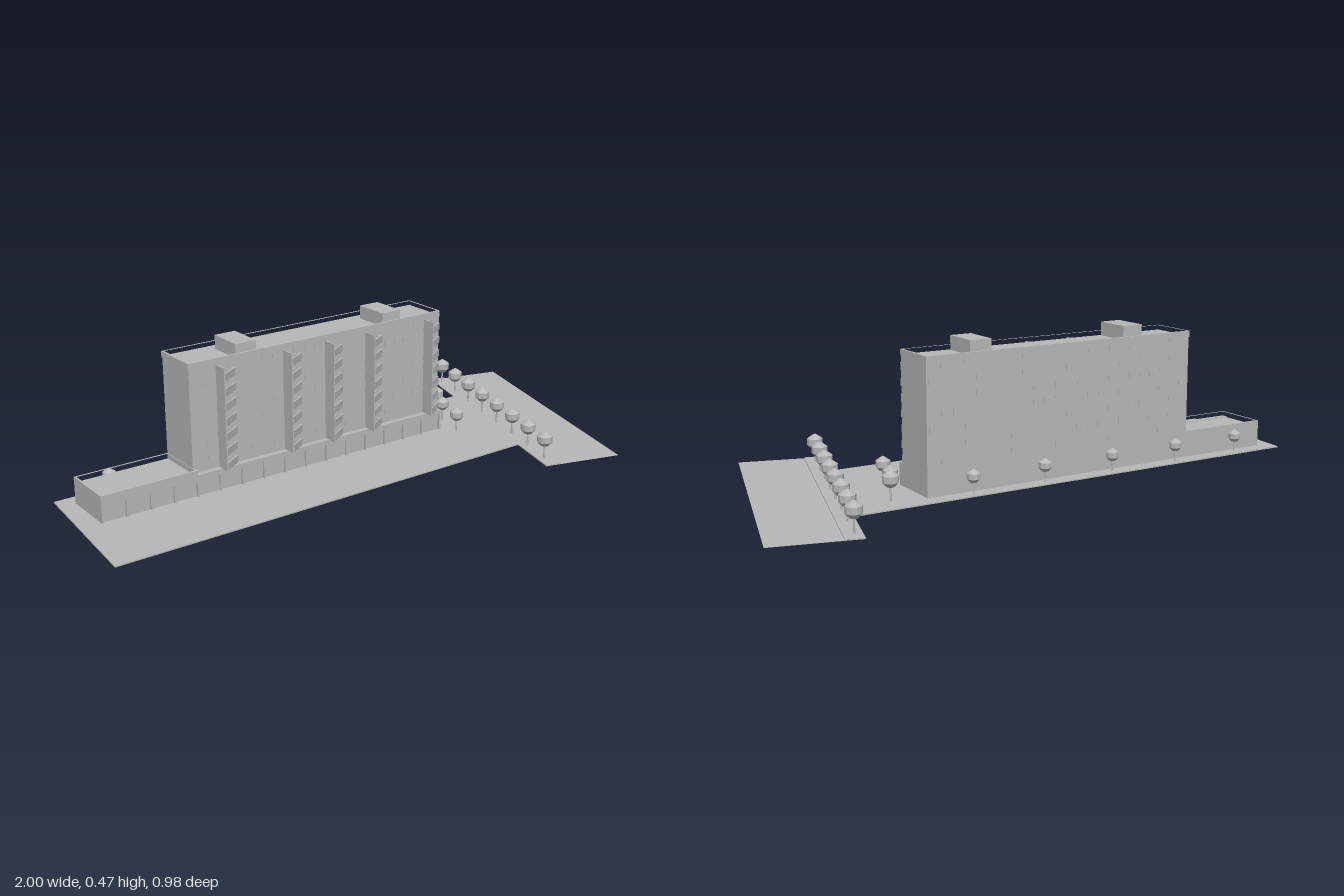
import * as THREE from 'three';

const concrete = new THREE.MeshStandardMaterial({ color: 0xb6b6b6 });
concrete.name = 'concrete grey';
concrete.flatShading = true;

function add(parent, name, geometry) {
  const mesh = new THREE.Mesh(geometry, concrete);
  mesh.name = name;
  parent.add(mesh);
  return mesh;
}

// Box given by its limits on each axis
function block(parent, name, x0, x1, y0, y1, z0, z1) {
  const g = new THREE.BoxGeometry(x1 - x0, y1 - y0, z1 - z0);
  g.translate((x0 + x1) / 2, (y0 + y1) / 2, (z0 + z1) / 2);
  return add(parent, name, g);
}

// Upright prism from a plan of [x, z] points, with an optional hole
function prism(parent, name, plan, y0, y1, hole) {
  const toPoints = (list) => list.map(([x, z]) => new THREE.Vector2(x, -z));
  const shape = new THREE.Shape(toPoints(plan));
  if (hole) shape.holes.push(new THREE.Path(toPoints(hole)));
  const g = new THREE.ExtrudeGeometry(shape, { depth: y1 - y0, bevelEnabled: false });
  g.rotateX(-Math.PI / 2);
  g.translate(0, y0, 0);
  return add(parent, name, g);
}

const rect = (x0, x1, z0, z1) => [[x0, z0], [x1, z0], [x1, z1], [x0, z1]];

// Wall rim standing round a flat roof
function parapet(parent, name, x0, x1, z0, z1, y0, y1, t) {
  prism(parent, name, rect(x0, x1, z0, z1), y0, y1, rect(x0 + t, x1 - t, z0 + t, z1 - t));
}

function tree(parent, x, z, size) {
  const group = new THREE.Group();
  group.name = 'tree';
  add(group, 'trunk', new THREE.CylinderGeometry(0.003, 0.003, 0.054, 6).translate(0, 0.027, 0));
  const profile = [[0, 0.047], [0.013, 0.048], [0.026, 0.062], [0.026, 0.083], [0.012, 0.093], [0, 0.1]];
  add(group, 'crown', new THREE.LatheGeometry(profile.map(([r, y]) => new THREE.Vector2(r, y)), 10));
  group.scale.setScalar(size);
  group.position.set(x, 0, z);
  parent.add(group);
}

export function createModel() {
  const model = new THREE.Group();
  model.name = 'apartmentBlock';

  // Ground: low street slab and a slightly raised plot with pavement
  prism(model, 'street', [[0.79, -0.475], [1, -0.42], [0.74, 0.49], [0.53, 0.43]], 0, 0.001);
  prism(model, 'plot', [[-0.955, -0.285], [0.676, -0.285], [0.735, -0.49], [0.79, -0.475],
    [0.53, 0.43], [0.475, 0.415], [0.531, 0.22], [-1, 0.22]], 0, 0.004);

  // Ground floor: recessed wall, slab edge and pillars
  const base = new THREE.Group();
  base.name = 'groundFloor';
  model.add(base);
  block(base, 'groundFloorWall', -0.905, 0.41, 0.004, 0.074, -0.235, -0.058);
  block(base, 'slabEdge', -0.905, 0.41, 0.06, 0.077, -0.07, -0.05);
  for (let i = 0; i <= 16; i++) {
    const x = -0.902 + i * 0.0818;
    block(base, 'pillar', x - 0.003, x + 0.003, 0.004, 0.06, -0.06, -0.05);
  }
  parapet(base, 'lowRoofParapet', -0.905, -0.575, -0.235, -0.05, 0.07, 0.093, 0.007);

  // Tower with roof rim and two roof houses
  const tower = new THREE.Group();
  tower.name = 'tower';
  model.add(tower);
  block(tower, 'towerBody', -0.58, 0.41, 0.07, 0.42, -0.235, -0.072);
  parapet(tower, 'roofParapet', -0.583, 0.411, -0.236, -0.07, 0.415, 0.436, 0.007);
  for (const x of [-0.41, 0.165]) block(tower, 'roofHouse', x, x + 0.075, 0.41, 0.466, -0.2, -0.076);

  // Thin window plates on both long sides
  for (let floor = 0; floor < 7; floor++) {
    const y = 0.103 + floor * 0.049;
    for (let i = 0; i < 24; i++) {
      const x = -0.565 + i * 0.041;
      block(tower, 'backWindow', x, x + 0.024, y, y + 0.02, -0.2358, -0.2345);
      block(tower, 'frontWindow', x, x + 0.024, y, y + 0.02, -0.0725, -0.0712);
    }
  }

  // Five stacks of wedge balconies, each beside a tall fin
  for (const x of [-0.485, -0.237, -0.073, 0.092, 0.343]) {
    const stack = new THREE.Group();
    stack.name = 'balconyStack';
    stack.position.x = x;
    model.add(stack);
    block(stack, 'fin', 0, 0.004, 0.076, 0.415, -0.073, -0.023);
    const outline = [[0.002, -0.073], [0.067, -0.073], [0.067, -0.067], [0.002, -0.026]];
    const inside = [[0.006, -0.07], [0.055, -0.07], [0.055, -0.0645], [0.006, -0.033]];
    for (let floor = 0; floor < 7; floor++) {
      const y = 0.076 + floor * 0.049;
      prism(stack, 'balconyFloor', outline, y, y + 0.004);
      prism(stack, 'balconyRail', outline, y + 0.004, y + 0.024, inside);
    }
  }

  // Trees: street row, garden group and small ones behind
  for (let i = 0; i < 8; i++) tree(model, 0.745 - i * 0.0325, -0.437 + i * 0.114, 1);
  for (const [x, z, size] of [[0.517, -0.203, 1], [0.477, -0.12, 0.92], [0.445, -0.005, 0.92]]) tree(model, x, z, size);
  for (let i = 0; i < 5; i++) tree(model, -0.775 + i * 0.26, -0.26, 0.82);

  return model;
}
